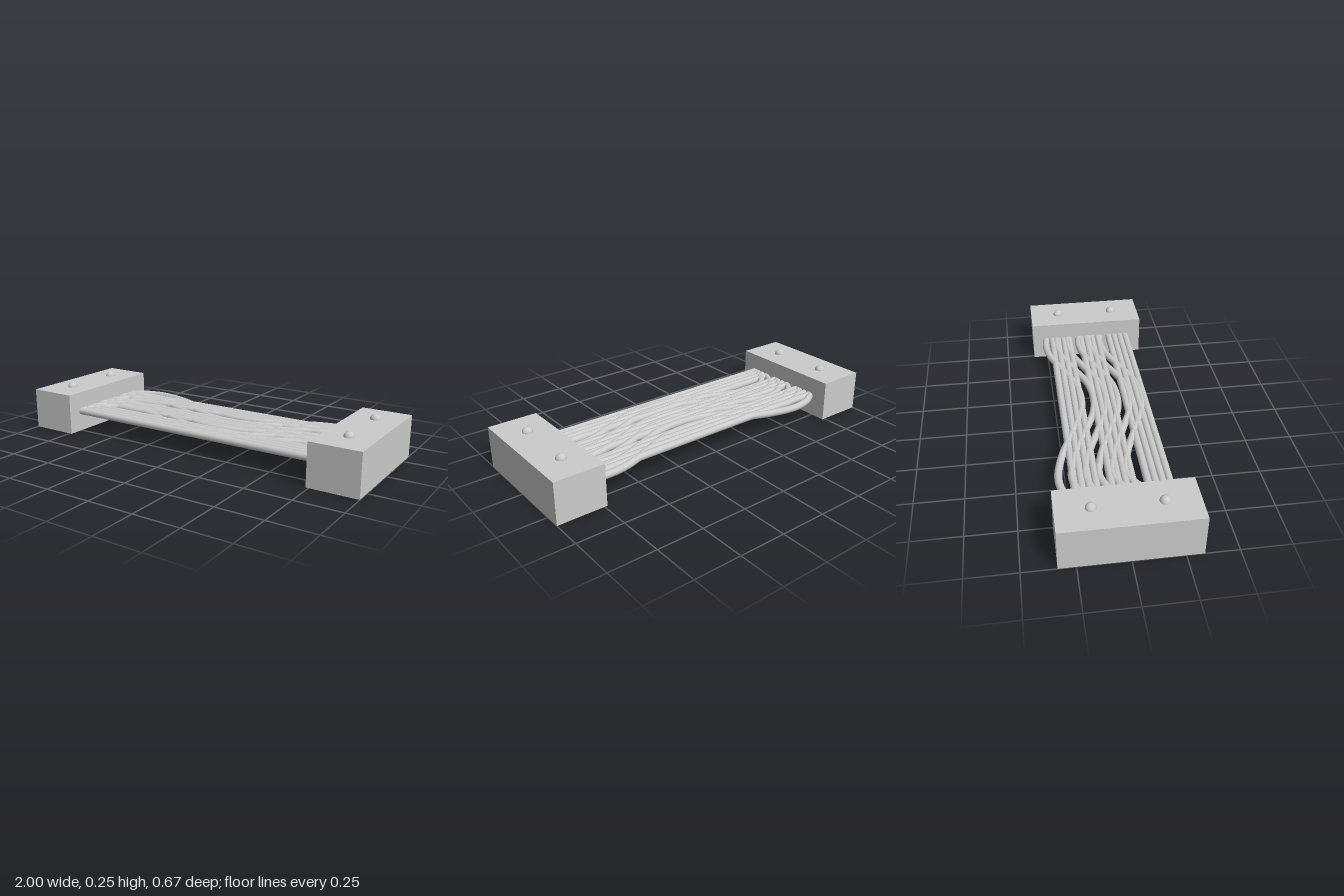
import * as THREE from 'three';

const material = new THREE.MeshStandardMaterial({ color: 0xcccccc });
const WIRE_Y = 0.115;
const WIRE_R = 0.02;

function addMesh(parent, name, geometry, x = 0, y = 0, z = 0) {
  const mesh = new THREE.Mesh(geometry, material);
  mesh.name = name;
  mesh.position.set(x, y, z);
  parent.add(mesh);
  return mesh;
}

// Square end block with two domed studs on top
function createEndBlock(name, side) {
  const block = new THREE.Group();
  block.name = name;
  addMesh(block, 'block', new THREE.BoxGeometry(0.265, 0.225, 0.67), side * 0.8675, 0.1125, 0);
  const dome = new THREE.SphereGeometry(0.027, 24, 10, 0, Math.PI * 2, 0, Math.PI / 2);
  for (const z of [-0.168, 0.168]) addMesh(block, 'stud', dome, side * 0.867, 0.224, z);
  return block;
}

// Wire through a list of [x, z] points at constant height
function wireGeometry(points, segments) {
  const curve = new THREE.CatmullRomCurve3(points.map(([x, z]) => new THREE.Vector3(x, WIRE_Y, z)));
  return new THREE.TubeGeometry(curve, segments, WIRE_R, 12);
}

export function createModel() {
  const model = new THREE.Group();
  model.name = 'wireBridge';
  model.add(createEndBlock('leftBlock', 1), createEndBlock('rightBlock', -1));

  // Straight wires: three bundles of four
  const straight = new THREE.Group();
  straight.name = 'straightWires';
  for (const bundle of [-0.164, 0.015, 0.191]) {
    for (let i = 0; i < 4; i++) {
      const z = bundle + (i - 1.5) * 0.035;
      addMesh(straight, 'straightWire', wireGeometry([[-0.77, z], [0.77, z]], 2));
    }
  }

  // Wavy wires: fan out at one end, then run parallel
  const wavy = new THREE.Group();
  wavy.name = 'wavyWires';
  for (let i = 0; i < 6; i++) {
    const shift = i * 0.067;
    const path = [
      [-0.55, -0.288], [-0.4, -0.262], [-0.2, -0.185], [-0.03, -0.12], [0.1, -0.105],
      [0.24, -0.122], [0.42, -0.195], [0.56, -0.247], [0.67, -0.261], [0.77, -0.25],
    ].map(([x, z]) => [x, z + shift]);
    const start = -0.225 + i * 0.091;
    const rise = path[0][1] - start;
    path.unshift([-0.765, start - rise * 0.2], [-0.735, start], [-0.66, start + rise * 0.66]);
    addMesh(wavy, 'wavyWire', wireGeometry(path, 90));
  }

  model.add(straight, wavy);
  return model;
}
